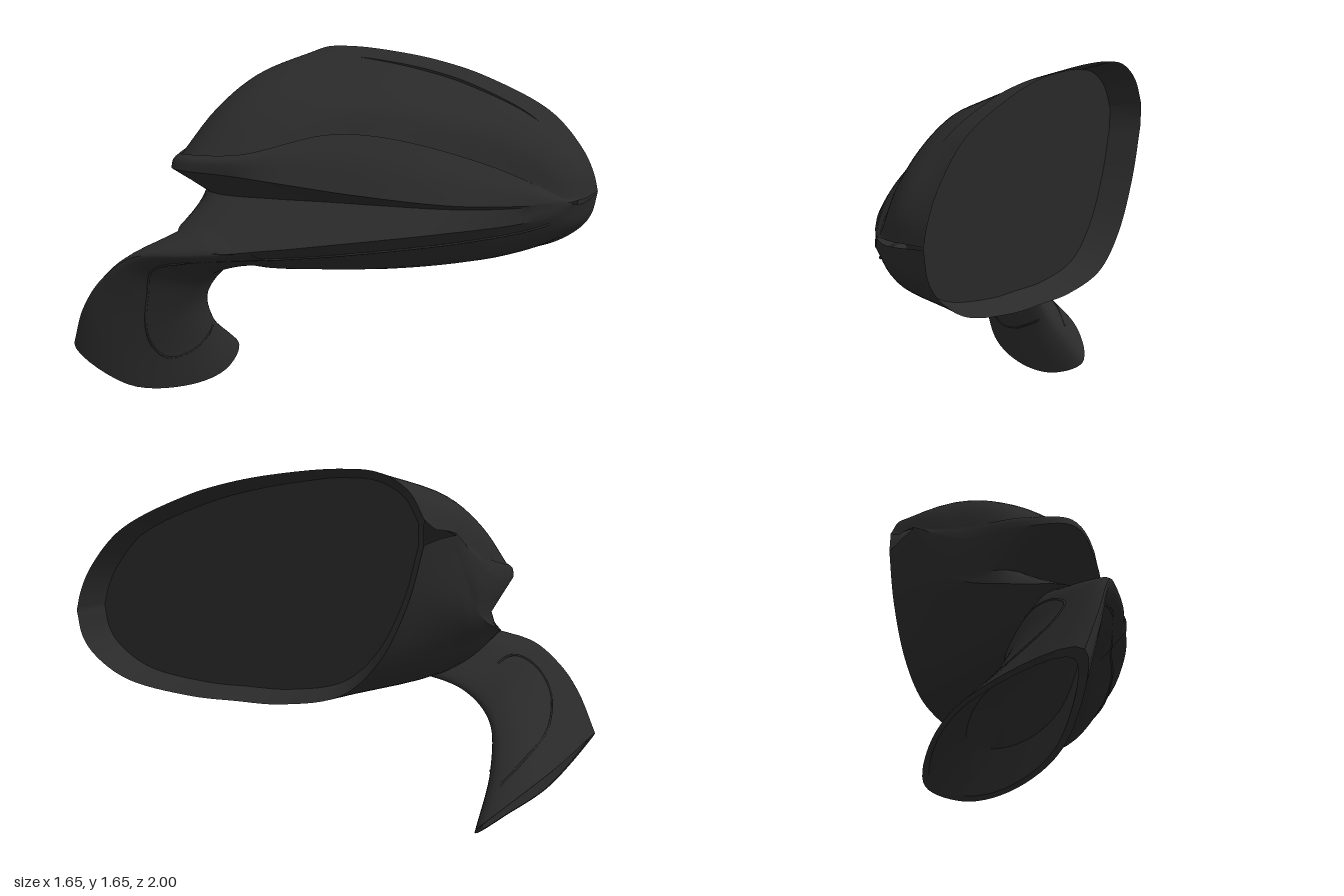
import * as THREE from 'three';
import { toCreasedNormals } from 'three/addons/utils/BufferGeometryUtils.js';

const V = (x, y, z) => new THREE.Vector3(x, y, z);
const curve = (pts, closed = false) => new THREE.CatmullRomCurve3(pts, closed);

const bodyBlack = new THREE.MeshStandardMaterial({ color: 0x2a2a2a, side: THREE.DoubleSide });
const glassGrey = new THREE.MeshStandardMaterial({ color: 0x282828, side: THREE.DoubleSide });

// Surface from equal-length columns of points
function grid(columns, name, material, crease = 0.6) {
  const n = columns[0].length, index = [];
  for (let u = 0; u < columns.length - 1; u++) {
    for (let v = 0; v < n - 1; v++) {
      const a = u * n + v, c = a + n;
      index.push(a, a + 1, c, a + 1, c + 1, c);
    }
  }
  const g = new THREE.BufferGeometry().setFromPoints(columns.flat());
  g.setIndex(index);
  const mesh = new THREE.Mesh(toCreasedNormals(g, crease), material);
  mesh.name = name;
  return mesh;
}

// Housing guide lines, as [y, z] at each x station
const xs = [-0.72, -0.66, -0.55, -0.4, -0.15, 0.05, 0.25, 0.55, 0.72, 0.79, 0.82];
const rimX = x => x > 0.5 ? x - 0.05 * ((x - 0.5) / 0.32) ** 2 : x;
const rimZ = x => -0.664 - 0.436 * x;
const rim = ys => curve(xs.map((x, i) => V(rimX(x), ys[i], rimZ(rimX(x)))));
const guide = yz => curve(xs.map((x, i) => V(x, yz[i][0], yz[i][1])));

const rimTop = rim([1.46, 1.57, 1.64, 1.655, 1.635, 1.6, 1.54, 1.39, 1.22, 1.11, 1.03]);
const rimBottom = rim([1.36, 1.12, 0.88, 0.73, 0.672, 0.67, 0.675, 0.73, 0.83, 0.91, 1.02]);
const crown = guide([[1.42, -0.28], [1.49, -0.1], [1.54, 0], [1.545, 0.01], [1.52, -0.12],
  [1.5, -0.26], [1.47, -0.42], [1.365, -0.66], [1.235, -0.79], [1.13, -0.83], [1.03, -0.83]]);
const lensTop = guide([[1.41, -0.2], [1.28, 0.12], [1.21, 0.46], [1.225, 0.52], [1.245, 0.4],
  [1.32, 0.07], [1.31, -0.12], [1.195, -0.44], [1.095, -0.62], [1.045, -0.7], [1.03, -0.75]]);
const lip = guide([[1.4, -0.15], [1.19, 0.2], [1.16, 0.5], [1.175, 0.6], [1.165, 0.47],
  [1.135, 0.31], [1.1, 0.13], [1.05, -0.2], [1.03, -0.5], [1.03, -0.65], [1.03, -0.73]]);
const groove = guide([[1.39, -0.15], [1.05, 0.1], [1.02, 0.33], [1.02, 0.36], [1.02, 0.22],
  [1.02, 0.08], [1.02, -0.05], [1.02, -0.27], [1.02, -0.51], [1.025, -0.65], [1.03, -0.73]]);
const ridge = guide([[1.39, -0.16], [1.04, 0.1], [0.93, 0.38], [0.88, 0.6], [0.84, 0.62],
  [0.86, 0.45], [0.89, 0.24], [0.93, -0.16], [0.95, -0.49], [0.98, -0.65], [1.02, -0.73]]);
const belly = guide([[1.38, -0.25], [1.04, 0], [0.89, 0.2], [0.75, 0.3], [0.7, 0.26],
  [0.705, 0.12], [0.72, -0.05], [0.77, -0.4], [0.84, -0.68], [0.91, -0.77], [1.01, -0.8]]);

// Shell section: crown, shoulder, stepped lens, undercut groove, shelf, belly
function housingSection(s) {
  const p = c => c.getPoint(s), step = 0.012 * Math.sin(Math.PI * s);
  const bulge = 0.025 * Math.min(1, 6 * s * (1 - s));
  const shoulder = p(crown).lerp(p(lensTop), 0.5).add(V(0, bulge, bulge));
  const raised = p(lensTop).add(V(0, step, step));
  const mid = raised.clone().lerp(p(lip), 0.5).add(V(0, step * 1.5, step * 1.5));
  return [
    ...curve([p(rimTop), p(crown), shoulder, p(lensTop)]).getPoints(15),
    ...curve([raised, mid, p(lip)]).getPoints(6),
    p(lip).lerp(p(groove), 0.5), p(groove),
    p(groove).lerp(p(ridge), 0.5),
    ...curve([p(ridge), p(belly), p(rimBottom)]).getPoints(12),
  ];
}
const SEAM_ROW = 28; // section point just below the ridge

// Mount arm guide lines, from the foot up into the housing
const armGuides = {
  front: [[-0.72, 0.34, 1], [-0.63, 0.54, 0.985], [-0.54, 0.69, 0.93],
    [-0.42, 0.8, 0.84], [-0.2, 0.83, 0.68], [0, 0.85, 0.49]],
  heel: [[-0.61, 0.1, 0.79], [-0.555, 0.36, 0.82], [-0.48, 0.58, 0.8],
    [-0.38, 0.7, 0.7], [-0.2, 0.755, 0.55], [0, 0.785, 0.38]],
  inner: [[-0.57, 0.01, 0.45], [-0.52, 0.28, 0.58], [-0.45, 0.5, 0.6],
    [-0.37, 0.64, 0.52], [-0.22, 0.71, 0.38], [0, 0.74, 0.25]],
  toe: [[-0.62, 0.015, 0.18], [-0.555, 0.27, 0.37], [-0.49, 0.49, 0.44],
    [-0.41, 0.635, 0.38], [-0.23, 0.715, 0.22], [0, 0.745, 0.13]],
  back: [[-0.71, 0.09, 0.05], [-0.63, 0.3, 0.26], [-0.56, 0.5, 0.335],
    [-0.47, 0.65, 0.25], [-0.26, 0.74, 0.1], [0, 0.76, 0.05]],
  ankle: [[-0.795, 0.2, 0.19], [-0.68, 0.4, 0.36], [-0.585, 0.59, 0.42],
    [-0.51, 0.73, 0.37], [-0.33, 0.84, 0.26], [0, 0.82, 0.13]],
  outer: [[-0.83, 0.3, 0.48], [-0.7, 0.46, 0.56], [-0.58, 0.65, 0.6],
    [-0.5, 0.82, 0.53], [-0.38, 0.92, 0.46], [0, 0.88, 0.25]],
};
const armCurves = Object.values(armGuides).map(pts => curve(pts.map(p => V(...p))));
const armLoop = s => curve(armCurves.map(c => c.getPoint(s)), true);
const onArm = ([s, t]) => armLoop(s).getPoint(t);

// Raised seam line through surface points
function seam(points, name) {
  const mesh = new THREE.Mesh(new THREE.TubeGeometry(curve(points), 90, 0.005, 6), bodyBlack);
  mesh.name = name;
  return mesh;
}

export function createModel() {
  const model = new THREE.Group();
  const N = 72;
  const steps = Array.from({ length: N + 1 }, (_, i) => i / N);

  // Housing shell
  model.add(grid(steps.map(housingSection), 'housing', bodyBlack));

  // Deep rim wall and recessed mirror glass
  const centre = V(0.03, 1.17, rimZ(0.03));
  const inset = p => p.clone().sub(centre).multiplyScalar(0.925).add(centre)
    .add(V(0.4, 0, 0.917).multiplyScalar(0.13));
  const top = steps.map(s => rimTop.getPoint(s));
  const bottom = steps.map(s => rimBottom.getPoint(s));
  const loop = [...top, ...bottom.slice().reverse(), top[0]];
  model.add(grid(loop.map(p => [inset(p), p]), 'housingRim', bodyBlack));
  model.add(grid(top.map((p, i) => [inset(bottom[i]), inset(p)]), 'mirrorGlass', glassGrey));

  // Mount arm
  model.add(grid(steps.map(s => armLoop(s).getPoints(49)), 'mountArm', bodyBlack, 0.9));

  // Hollow foot opening
  const outer = armLoop(0).getPoints(49), inner = armLoop(0.12).getPoints(49);
  const mean = pts => pts.reduce((a, p) => a.add(p), V(0, 0, 0)).divideScalar(pts.length);
  const c0 = mean(outer), c1 = mean(inner);
  model.add(grid(outer.map((p, i) => [
    p, p.clone().lerp(c0, 0.1), inner[i].clone().lerp(c1, 0.2), c1,
  ]), 'footOpening', bodyBlack));

  // Seam from the tip, under the ridge and around the arm's inner cover
  model.add(seam([
    ...[0.86, 0.8, 0.7, 0.6, 0.5].map(s => housingSection(s)[SEAM_ROW].add(V(0, -0.002, 0.004))),
    ...[[0.74, 0.08], [0.6, 0.1], [0.45, 0.17], [0.3, 0.2], [0.2, 0.22],
      [0.14, 0.26], [0.15, 0.34], [0.18, 0.43], [0.2, 0.51]].map(onArm),
  ], 'lowerCoverSeam'));

  // Matching seam on the outer face of the arm
  model.add(seam([[0.1, 0.65], [0.12, 0.75], [0.18, 0.87], [0.3, 0.905], [0.42, 0.905],
    [0.52, 0.88], [0.56, 0.83], [0.58, 0.77]].map(onArm), 'outerCoverSeam'));

  return model;
}
